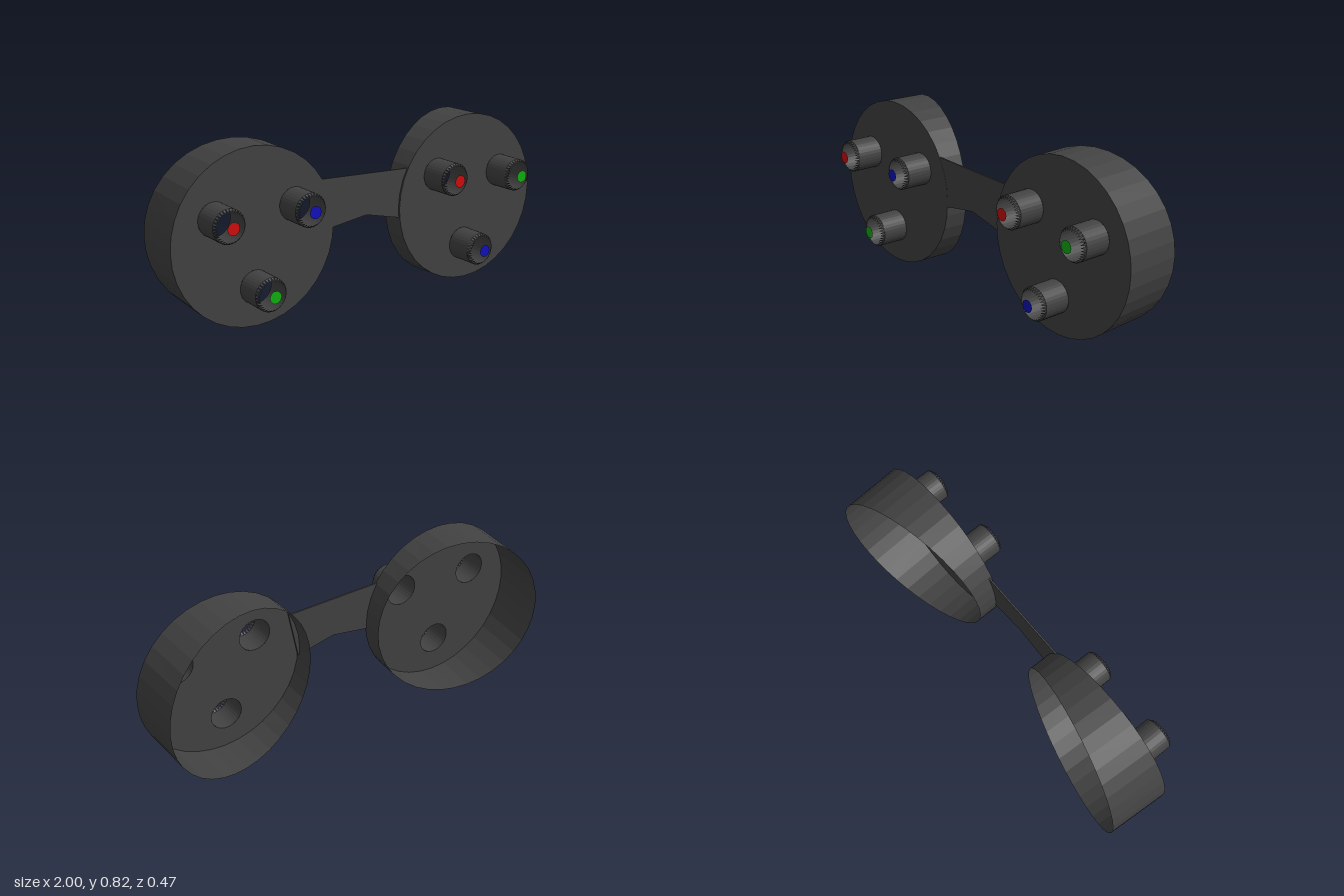
import * as THREE from 'three';

export function createModel() {
  const model = new THREE.Group();
  const material = (name, color, extra = {}) => new THREE.MeshStandardMaterial({ name, color, ...extra });
  const body = material('charcoal', 0x424242, { side: THREE.DoubleSide, flatShading: true });
  const red = material('red', 0xd00c0c);
  const green = material('green', 0x10b010);
  const blue = material('blue', 0x1010bc);

  const add = (parent, name, geometry, mat, x = 0, y = 0, z = 0) => {
    const mesh = new THREE.Mesh(geometry, mat);
    mesh.name = name;
    mesh.position.set(x, y, z);
    parent.add(mesh);
    return mesh;
  };

  const R = 0.408, BARREL = 0.078, LENGTH = 0.13;

  // Ring of pointed teeth closing in on the mouth of a lens barrel
  function teethGeometry(count) {
    const points = [];
    const put = (r, a, z) => points.push(r * Math.cos(a), r * Math.sin(a), z);
    const step = (Math.PI * 2) / count;
    for (let i = 0; i < count; i++) {
      put(BARREL, i * step, 0);
      put(BARREL, (i + 1) * step, 0);
      put(0.062, (i + 0.5) * step, 0.02);
    }
    const geometry = new THREE.BufferGeometry();
    geometry.setAttribute('position', new THREE.Float32BufferAttribute(points, 3));
    geometry.computeVertexNormals();
    return geometry;
  }

  // Open cup wall whose back edge slants deeper towards the temple
  function wallGeometry(side) {
    const geometry = new THREE.CylinderGeometry(R, R, 1, 36, 1, true);
    geometry.rotateX(Math.PI / 2).translate(0, 0, -0.5);
    const p = geometry.attributes.position;
    for (let i = 0; i < p.count; i++) {
      if (p.getZ(i) > -0.5) continue;
      const x = p.getX(i);
      p.setX(i, x * 0.98 - side * 0.008);
      p.setZ(i, -0.2 - 0.215 * side * x);
    }
    geometry.computeVertexNormals();
    return geometry;
  }

  function makeCup(name, side, cx, tilt, lenses) {
    const cup = new THREE.Group();
    cup.name = name;
    cup.position.set(cx, 0.411, 0.058);
    cup.rotation.y = tilt;
    model.add(cup);
    add(cup, 'cupWall', wallGeometry(side), body);

    // Front plate pierced behind each barrel
    const plate = new THREE.Shape().absarc(0, 0, R, 0, Math.PI * 2);
    for (const [x, y] of lenses) {
      plate.holes.push(new THREE.Path().absarc(x - cx, y - 0.411, BARREL, 0, Math.PI * 2, true));
    }
    add(cup, 'frontPlate', new THREE.ShapeGeometry(plate, 18), body);

    // Hollow barrels with a toothed mouth and a floating coloured light
    for (const [x, y, lightMaterial] of lenses) {
      const lens = new THREE.Group();
      lens.name = 'lens';
      lens.position.set(x - cx, y - 0.411, 0);
      cup.add(lens);
      const barrel = new THREE.CylinderGeometry(BARREL, BARREL, LENGTH, 32, 1, true).rotateX(Math.PI / 2);
      add(lens, 'barrel', barrel, body, 0, 0, LENGTH / 2);
      add(lens, 'teeth', teethGeometry(32), body, 0, 0, LENGTH);
      add(lens, 'light', new THREE.CircleGeometry(0.03, 10), lightMaterial, 0, 0, 0.17);
    }
  }

  makeCup('rightCup', -1, -0.592, 0, [
    [-0.79, 0.525, red], [-0.388, 0.53, blue], [-0.595, 0.185, green],
  ]);
  makeCup('leftCup', 1, 0.59, 0.02, [
    [0.405, 0.55, red], [0.795, 0.515, green], [0.57, 0.18, blue],
  ]);

  // Thin nose bridge, notched underneath
  const bridge = new THREE.Shape([
    [-0.245, 0.62], [-0.185, 0.388], [0, 0.415], [0.19, 0.37], [0.235, 0.603],
  ].map(([x, y]) => new THREE.Vector2(x, y)));
  const bridgeGeometry = new THREE.ExtrudeGeometry(bridge, { depth: 0.008, bevelEnabled: false });
  add(model, 'noseBridge', bridgeGeometry, body, 0, 0, 0.049);

  return model;
}
